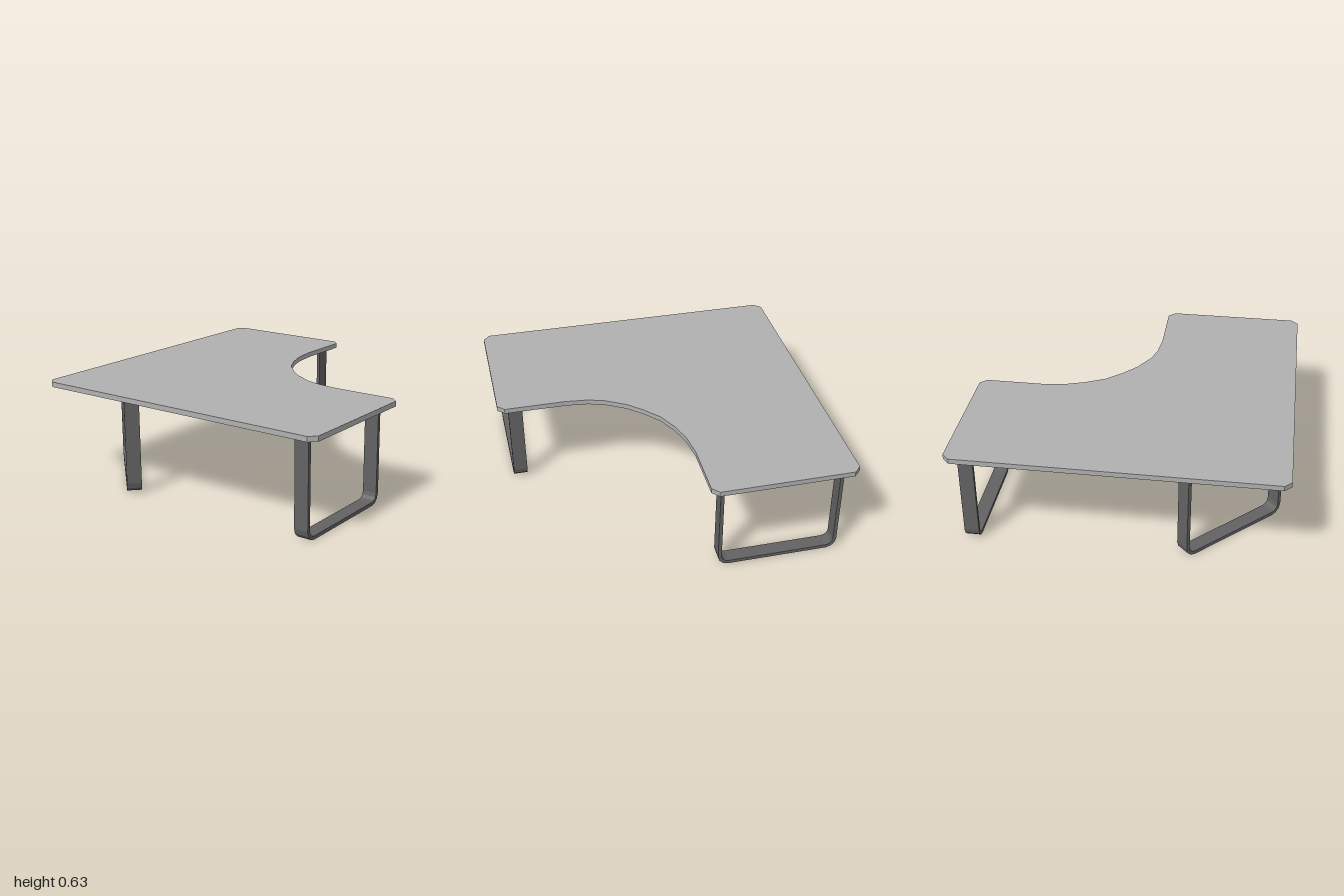
import * as THREE from 'three';

const topMaterial = new THREE.MeshStandardMaterial({ color: 0xb0b0b0 });
topMaterial.name = 'light grey top';
const legMaterial = new THREE.MeshStandardMaterial({ color: 0x626262 });
legMaterial.name = 'dark grey steel';

const LEG_HEIGHT = 0.6;
const TOP_THICKNESS = 0.032;

// Corner desk top with clipped corners and a curved inner edge, outline as [x, z]
function createTop() {
  const c = 0.957;
  const outline = [
    [-1, -c], [-c, -1], [-0.14, -1], [-0.1, -c],
    [-0.1, -0.6], [-0.08, -0.45], [-0.04, -0.33], [0.02, -0.21], [0.11, -0.11],
    [0.2, -0.03], [0.33, 0.045], [0.43, 0.075], [0.57, 0.09],
    [c, 0.09], [1, 0.133], [1, c], [c, 1], [-c, 1], [-1, c],
  ];
  const shape = new THREE.Shape(outline.map(([x, z]) => new THREE.Vector2(x, -z)));
  const geometry = new THREE.ExtrudeGeometry(shape, { depth: TOP_THICKNESS, bevelEnabled: false });
  geometry.rotateX(-Math.PI / 2);
  geometry.translate(0, LEG_HEIGHT, 0);
  const mesh = new THREE.Mesh(geometry, topMaterial);
  mesh.name = 'tableTop';
  return mesh;
}

// U-shaped flat-bar frame standing on the floor, running along x
function createLegGeometry(length = 0.755, width = 0.09, bar = 0.022, radius = 0.065, segments = 3) {
  // One side of the U: post top, then the rounded corner down to the floor
  const side = (inset) => {
    const r = radius - inset;
    const cx = length / 2 - radius;
    const points = [new THREE.Vector2(length / 2 - inset, LEG_HEIGHT)];
    for (let i = 0; i <= segments; i++) {
      const a = (i / segments) * Math.PI / 2;
      points.push(new THREE.Vector2(cx + r * Math.cos(a), radius - r * Math.sin(a)));
    }
    return points;
  };
  const mirror = (points) => points.map((p) => new THREE.Vector2(-p.x, p.y)).reverse();
  const outer = side(0);
  const inner = side(bar);
  const shape = new THREE.Shape([
    ...outer, ...mirror(outer),
    ...mirror(inner).reverse(), ...inner.slice().reverse(),
  ]);
  const geometry = new THREE.ExtrudeGeometry(shape, { depth: width, bevelEnabled: false });
  geometry.translate(0, 0, -width / 2);
  return geometry;
}

export function createModel() {
  const group = new THREE.Group();
  group.name = 'cornerDesk';
  group.add(createTop());

  // One frame under each wing and a diagonal one under the outer corner
  const legGeometry = createLegGeometry();
  const legs = [
    ['backLeg', -0.545, -0.885, 0],
    ['sideLeg', 0.885, 0.567, Math.PI / 2],
    ['cornerLeg', -0.628, 0.657, -Math.PI / 4],
  ];
  for (const [name, x, z, angle] of legs) {
    const leg = new THREE.Mesh(legGeometry, legMaterial);
    leg.name = name;
    leg.position.set(x, 0, z);
    leg.rotation.y = angle;
    group.add(leg);
  }
  return group;
}
